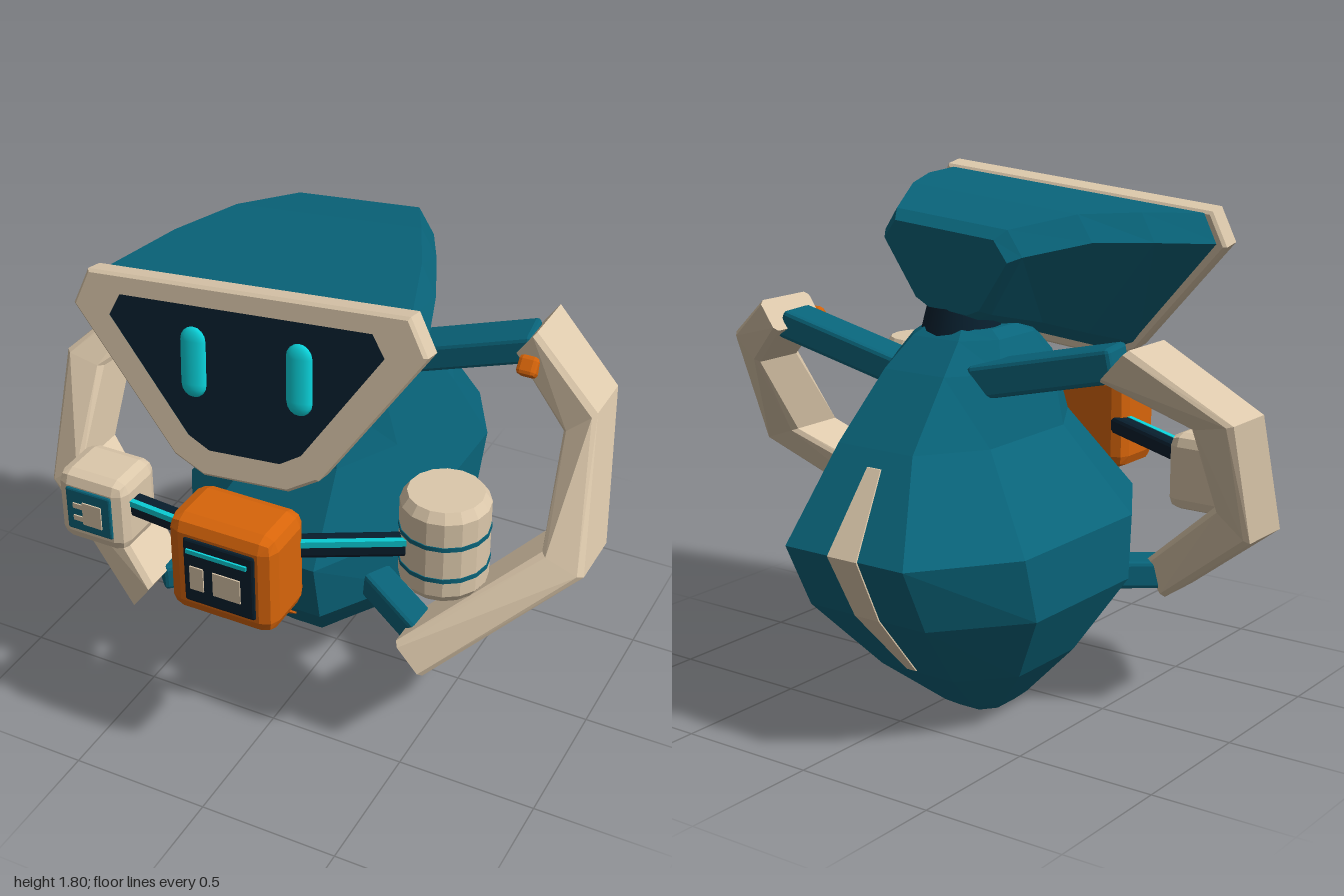
import * as THREE from 'three';
import { RoundedBoxGeometry } from 'three/addons/geometries/RoundedBoxGeometry.js';

const mat = (name, color) => {
  const m = new THREE.MeshStandardMaterial({ color });
  m.name = name;
  return m;
};

// Faceted skin through rings of [x, y, z] points, closed at both ends, facing outwards
function loft(rings) {
  const tris = [];
  const n = rings[0].length;
  for (let r = 0; r < rings.length - 1; r++) {
    for (let i = 0; i < n; i++) {
      const j = (i + 1) % n;
      const a = rings[r][i], b = rings[r][j], c = rings[r + 1][j], d = rings[r + 1][i];
      tris.push([a, b, c], [a, c, d]);
    }
  }
  const last = rings[rings.length - 1];
  for (let i = 1; i < n - 1; i++) {
    tris.push([rings[0][0], rings[0][i + 1], rings[0][i]], [last[0], last[i], last[i + 1]]);
  }
  const V = (p) => new THREE.Vector3(...p);
  const volume = tris.reduce((s, [a, b, c]) => s + V(a).dot(V(b).cross(V(c))), 0);
  if (volume < 0) tris.forEach((t) => t.reverse());
  const geo = new THREE.BufferGeometry();
  geo.setAttribute('position', new THREE.Float32BufferAttribute(tris.flat(2), 3));
  geo.computeVertexNormals();
  return geo;
}

// Box with faceted chamfers of size r
function chamferBox(w, h, d, r) {
  const geo = new RoundedBoxGeometry(w, h, d, 1, r);
  geo.computeVertexNormals();
  return geo;
}

// Mirror right-hand outline points into a closed symmetric outline
const mirrored = (pts) => [...pts, ...pts.slice().reverse().map(([x, y]) => [-x, y])];

export function createModel() {
  const root = new THREE.Group();
  const teal = mat('teal', 0x09647a);
  const cream = mat('cream', 0xdcc8ab);
  const orange = mat('orange', 0xd8650a);
  const dark = mat('dark navy', 0x081f2e);
  const cyan = mat('cyan', 0x0ad4dc);

  const add = (name, geo, material, pos = [0, 0, 0], parent = root) => {
    const mesh = new THREE.Mesh(geo, material);
    mesh.name = name;
    mesh.position.set(...pos);
    parent.add(mesh);
    return mesh;
  };
  const box = (name, size, pos, material, r = 0) =>
    add(name, r ? chamferBox(...size, r) : new THREE.BoxGeometry(...size), material, pos);
  // Straight bar between two points
  const beam = (name, a, b, w, h, material, r = 0.015) => {
    const A = new THREE.Vector3(...a), B = new THREE.Vector3(...b);
    const mid = A.clone().add(B).multiplyScalar(0.5);
    box(name, [w, h, A.distanceTo(B)], mid.toArray(), material, r).lookAt(B);
  };

  // Body: eight-sided rings of [y, centre x, half width, front z, back z], slightly twisted
  const octagon = [[1, 0.48], [0.57, 1], [-0.52, 1], [-1, 0.48], [-1, -0.5], [-0.45, -1], [0.68, -1], [1, -0.62]];
  const bodyRings = [
    [0, -0.125, 0.075, -0.05, -0.26], [0.03, -0.125, 0.11, 0.0, -0.31],
    [0.2, -0.115, 0.27, 0.16, -0.51], [0.45, -0.1, 0.425, 0.41, -0.73],
    [0.68, -0.1, 0.43, 0.46, -0.845], [0.98, -0.02, 0.275, 0.27, -0.6],
    [1.2, -0.02, 0.22, 0.21, -0.4], [1.3, -0.02, 0.17, 0.12, -0.29], [1.33, -0.02, 0.13, 0.05, -0.25],
  ].map(([y, cx, rx, zf, zb]) =>
    octagon.map(([u, w]) => [cx + u * rx, y, (zf + zb) / 2 + (w * (zf - zb)) / 2]));
  add('body', loft(bodyRings), teal);

  // Belly marker: thin triangle on the sloping lower front
  const tri = [[-0.185, 0.335, 0.295], [-0.01, 0.335, 0.295], [-0.105, 0.225, 0.185]];
  const shift = (pts, d) => pts.map(([x, y, z]) => [x, y - d, z + d]);
  add('bellyMarker', loft([shift(tri, -0.002), shift(tri, 0.005)]), orange);

  // Back stripe: thin tapering strip following the ridge of the back
  const stripe = [[0.93, -0.02, 0.028, -0.641], [0.68, -0.05, 0.06, -0.845], [0.45, -0.055, 0.05, -0.73], [0.21, -0.07, 0.02, -0.519]];
  add('backStripe', loft(stripe.map(([y, x, w, z]) => [
    [x - w, y, z + 0.003], [x + w, y, z + 0.003], [x + w, y, z - 0.006], [x - w, y, z - 0.006]])), cream);

  // Neck
  add('neck', new THREE.CylinderGeometry(0.12, 0.15, 0.12, 16), dark, [0, 1.335, -0.14]);

  // Head: tilted group, face plane at local z = 0
  const head = new THREE.Group();
  head.name = 'head';
  head.position.set(-0.017, 1.473, 0.61);
  head.rotation.set(-0.187, 0, 0.09);
  root.add(head);

  // Sections: local z, then upper, side, lower-side and bottom corner of the right half
  const shell = [
    [-0.055, [0.545, 0.27], [0.595, 0.165], [0.25, -0.28], [0.15, -0.33]],
    [-0.35, [0.445, 0.345], [0.495, 0.245], [0.225, -0.14], [0.13, -0.18]],
    [-0.58, [0.34, 0.39], [0.395, 0.3], [0.19, -0.025], [0.11, -0.06]],
    [-0.82, [0.225, 0.39], [0.28, 0.305], [0.15, 0.08], [0.09, 0.05]],
    [-0.865, [0.2, 0.365], [0.25, 0.295], [0.13, 0.105], [0.08, 0.08]],
  ].map(([z, ...pts]) => mirrored(pts).map(([x, y]) => [x, y, z]));
  add('headShell', loft(shell), teal, [0, 0, 0], head);

  const outline = (pts, s = 1) => mirrored(pts).map(([x, y]) => new THREE.Vector2(x * s, y * s));
  const frame = new THREE.Shape(outline([[0.557, 0.275], [0.61, 0.165], [0.253, -0.287], [0.15, -0.34]]));
  const opening = [[0.443, 0.217], [0.484, 0.145], [0.202, -0.217], [0.127, -0.258]];
  frame.holes.push(new THREE.Path(outline(opening)));
  add('faceFrame', new THREE.ExtrudeGeometry(frame, {
    depth: 0.065, bevelEnabled: true, bevelThickness: 0.01, bevelSize: 0.01, bevelSegments: 1,
  }), cream, [0, 0, -0.075], head);
  add('faceScreen', new THREE.ExtrudeGeometry(new THREE.Shape(outline(opening, 1.05)),
    { depth: 0.03, bevelEnabled: false }), dark, [0, 0, -0.05], head);
  for (const s of [-1, 1]) {
    add('eye', new THREE.CapsuleGeometry(0.046, 0.142, 4, 12), cyan, [s * 0.188, 0.025, -0.018], head).scale.z = 0.4;
  }

  // Arms: bent bars, each section given as outer x,y, inner x,y, centre z, half depth
  const arm = (name, sections) => add(name, loft(sections.map(([ox, oy, ix, iy, z, d]) => {
    const c = 0.12;
    const at = (t, dz) => [ox + (ix - ox) * t, oy + (iy - oy) * t, z + dz];
    const e = d - 0.018;
    return [at(0, -e), at(0, e), at(c, d), at(1 - c, d), at(1, e), at(1, -e), at(1 - c, -d), at(c, -d)];
  })), cream);
  arm('leftArm', [
    [0.635, 1.385, 0.565, 1.285, -0.335, 0.125], [0.912, 1.22, 0.8, 1.12, -0.19, 0.115],
    [1.0, 0.76, 0.85, 0.815, 0.07, 0.125], [0.56, 0.39, 0.46, 0.505, 0.38, 0.105]]);
  arm('rightArm', [
    [-0.735, 1.34, -0.63, 1.225, -0.145, 0.125], [-1.0, 1.09, -0.85, 1.06, 0.06, 0.12],
    [-0.975, 0.65, -0.84, 0.755, 0.25, 0.125], [-0.55, 0.33, -0.465, 0.45, 0.42, 0.115]]);

  // Struts joining arms to body
  beam('leftShoulderStrut', [0.12, 1.16, -0.25], [0.61, 1.3, -0.32], 0.16, 0.1, teal);
  beam('rightShoulderStrut', [-0.15, 1.17, -0.25], [-0.645, 1.275, -0.155], 0.16, 0.115, teal);
  beam('leftHipStrut', [0.2, 0.53, 0.18], [0.53, 0.48, 0.37], 0.11, 0.1, teal);
  beam('rightHipStrut', [-0.28, 0.42, 0.16], [-0.52, 0.41, 0.38], 0.14, 0.1, teal);

  // Buttons on the sloping fronts of the arm tips
  for (const [x, y, z] of [[0.635, 1.285, -0.165], [-0.715, 1.25, 0.025]]) {
    box('armButton', [0.07, 0.07, 0.06], [x, y, z], orange, 0.015).rotation.x = -0.67;
  }

  // Tool bar with glowing strip, carrying the three modules
  beam('chestBracket', [-0.02, 0.72, 0.38], [-0.02, 0.72, 0.62], 0.12, 0.13, teal);
  box('bracketFoot', [0.07, 0.06, 0.1], [0, 0.67, 0.52], dark, 0.015);
  const mid = [0, 0.87, 0.66];
  for (const end of [[-0.56, 0.79, 0.52], [0.52, 0.95, 0.5]]) {
    const lift = ([x, y, z]) => [x, y + 0.025, z + 0.028];
    beam('toolBar', mid, end, 0.065, 0.065, dark);
    beam('toolBarLight', lift(mid), lift(end), 0.02, 0.022, cyan, 0);
  }

  // Centre module with display
  box('centreModule', [0.39, 0.37, 0.245], [0, 0.86, 0.7125], orange, 0.05);
  box('moduleDisplay', [0.26, 0.25, 0.02], [0.005, 0.86, 0.833], dark, 0.009);
  box('displayBar', [0.22, 0.016, 0.008], [0, 0.94, 0.846], cyan);
  box('displayTile', [0.05, 0.09, 0.006], [-0.075, 0.837, 0.845], cream);
  box('displayTile', [0.1, 0.09, 0.006], [0.035, 0.837, 0.845], cream);

  // Small cube module with socket panel
  box('socketModule', [0.27, 0.28, 0.23], [-0.635, 0.77, 0.505], cream, 0.045);
  box('socketPanel', [0.18, 0.17, 0.016], [-0.635, 0.775, 0.621], teal, 0.007);
  box('socketPlate', [0.075, 0.09, 0.006], [-0.62, 0.77, 0.631], cream);
  for (const y of [0.745, 0.795]) box('socketPin', [0.04, 0.02, 0.006], [-0.675, y, 0.631], cream);

  // Canister with two bands
  const profile = [[0, -0.173], [0.125, -0.173], [0.148, -0.14], [0.148, 0.14], [0.125, 0.173], [0, 0.173]];
  const can = new THREE.LatheGeometry(profile.map((p) => new THREE.Vector2(...p)), 16).toNonIndexed();
  can.computeVertexNormals();
  add('canister', can, cream, [0.6, 0.957, 0.415]);
  for (const y of [1.003, 0.88]) {
    add('canisterBand', new THREE.CylinderGeometry(0.151, 0.151, 0.016, 16), teal, [0.6, y, 0.415]);
  }

  return root;
}
